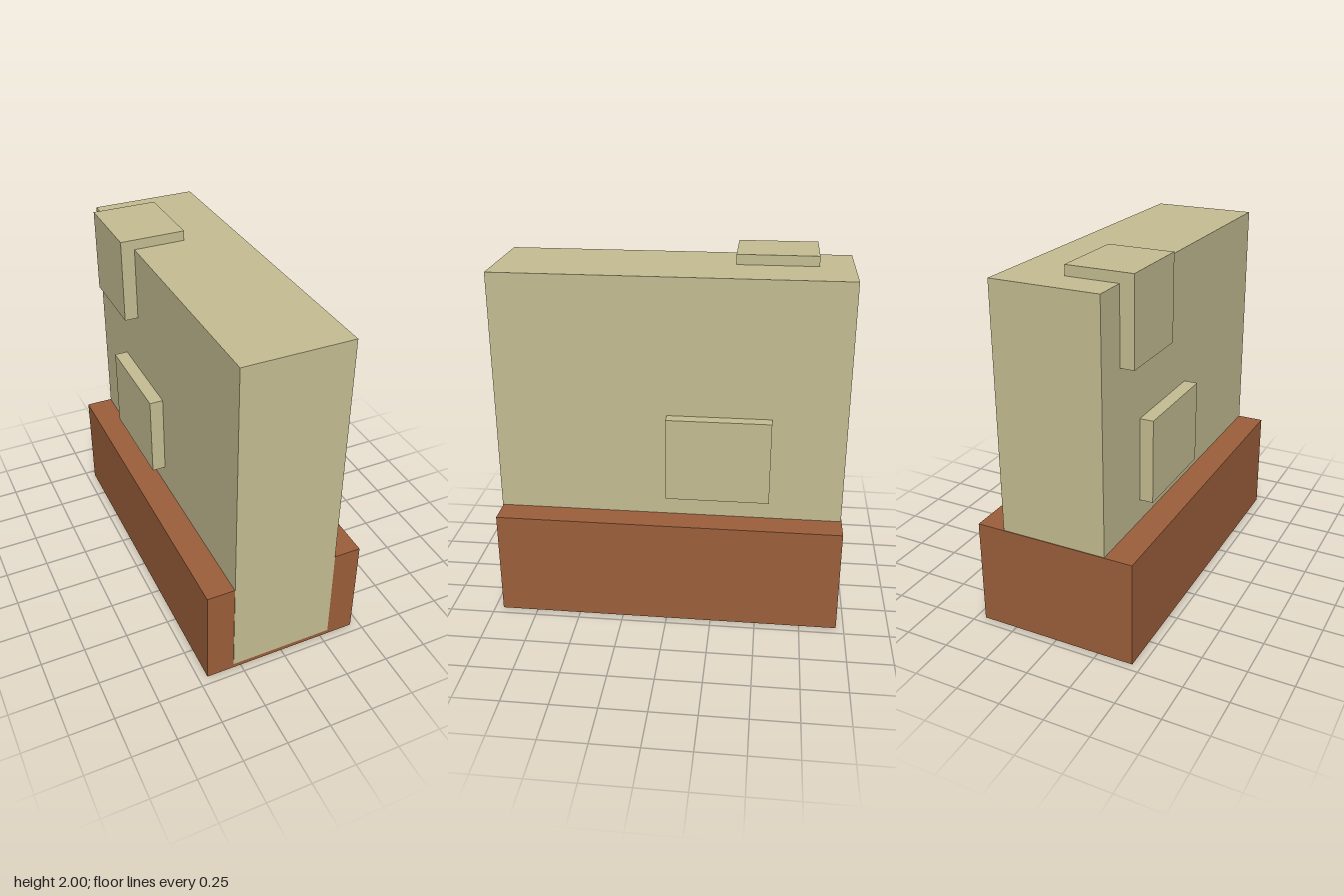
import * as THREE from 'three';

const stone = new THREE.MeshStandardMaterial({ color: 0xc5bd92 });
stone.name = 'paleStone';
const clay = new THREE.MeshStandardMaterial({ color: 0x9b5f3a });
clay.name = 'brownClay';

// Box given by its extents along each axis
function block(name, material, [x0, x1], [y0, y1], [z0, z1]) {
  const mesh = new THREE.Mesh(new THREE.BoxGeometry(x1 - x0, y1 - y0, z1 - z0), material);
  mesh.position.set((x0 + x1) / 2, (y0 + y1) / 2, (z0 + z1) / 2);
  mesh.name = name;
  return mesh;
}

export function createModel() {
  const model = new THREE.Group();
  model.name = 'wallBlock';

  // Plinth, with the wall standing just proud of its front face
  model.add(block('plinth', clay, [-0.45, 0.45], [0, 0.595], [-0.957, 0.953]));
  model.add(block('wall', stone, [-0.295, 0.295], [0.03, 1.945], [-0.953, 0.957]));

  // Raised panels, one on each side, set slightly into the wall
  model.add(block('leftPanel', stone, [0.25, 0.363], [0.72, 1.187], [-0.553, 0.013]));
  model.add(block('rightPanel', stone, [-0.37, -0.25], [0.72, 1.187], [-0.553, 0.013]));

  // Block wrapping over the top edge
  model.add(block('cornerBlock', stone, [-0.37, -0.008], [1.533, 2], [-0.767, -0.327]));

  return model;
}
